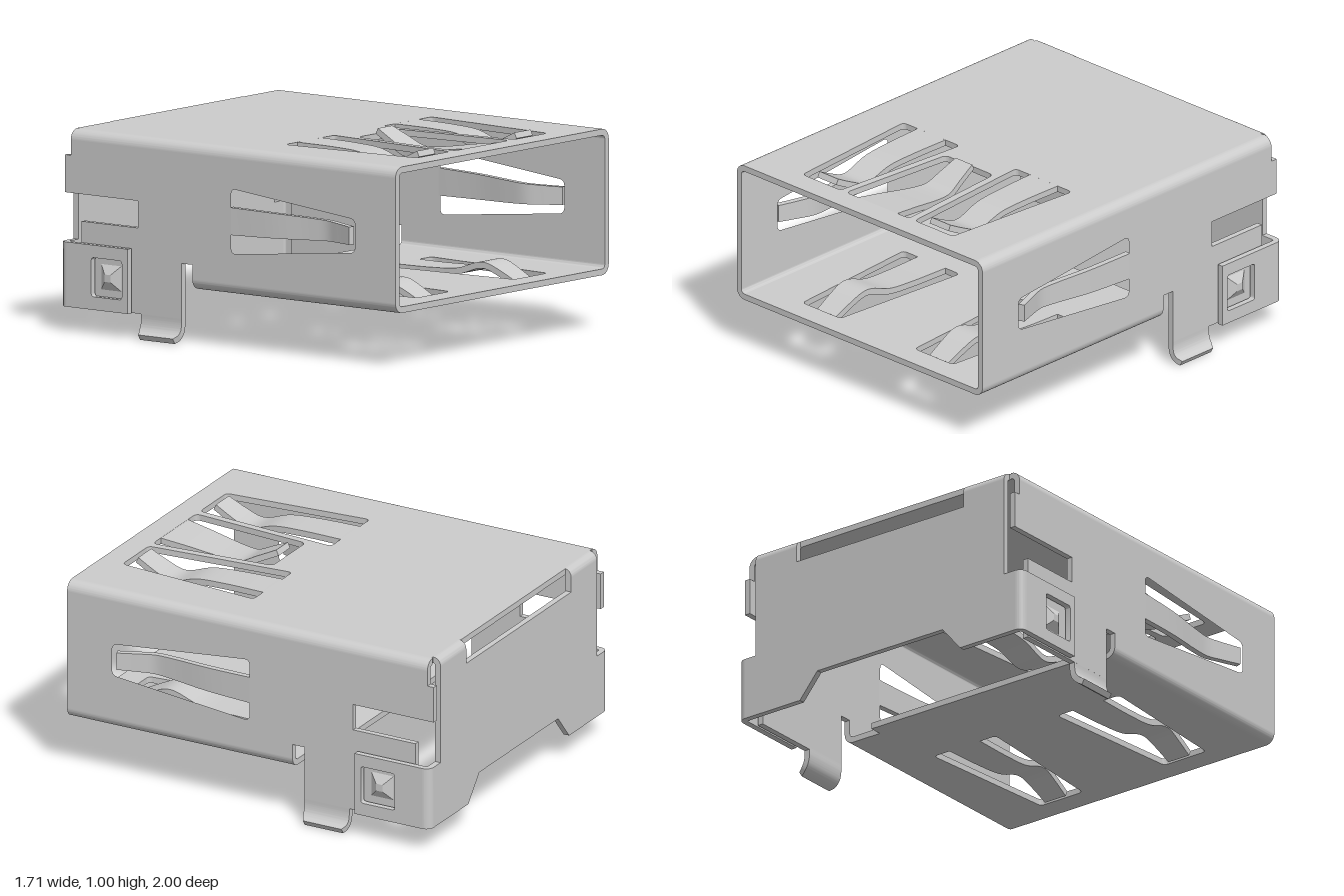
import * as THREE from 'three';
import { toCreasedNormals } from 'three/addons/utils/BufferGeometryUtils.js';

const T = 0.03; // sheet thickness
const V = (x, y, z) => new THREE.Vector3(x, y, z);
const material = new THREE.MeshStandardMaterial({ color: 0xcccccc });

// Closed outline with corners rounded by r
function outline(pts, r = 0, Type = THREE.Shape) {
  const s = new Type();
  const p = pts.map(([x, y]) => new THREE.Vector2(x, y));
  p.forEach((c, i) => {
    const a = p[(i + p.length - 1) % p.length], b = p[(i + 1) % p.length];
    const toward = (q) => c.clone().add(q.clone().sub(c).setLength(r));
    const from = r ? toward(a) : c, to = r ? toward(b) : c;
    if (i === 0) s.moveTo(from.x, from.y); else s.lineTo(from.x, from.y);
    if (r) s.quadraticCurveTo(c.x, c.y, to.x, to.y);
  });
  s.closePath();
  return s;
}

function extrude(shape, depth = T) {
  return new THREE.ExtrudeGeometry(shape, { depth, bevelEnabled: false, curveSegments: 8 });
}

// Horizontal panel: outline in x,z, hanging down from y
function floorPanel(shape, y) {
  return extrude(shape).applyMatrix4(
    new THREE.Matrix4().makeBasis(V(1, 0, 0), V(0, 0, 1), V(0, -1, 0)).setPosition(0, y, 0));
}

// Upright side panel: outline in z,y, with its +x face at x
function sidePanel(shape, x) {
  return extrude(shape).applyMatrix4(
    new THREE.Matrix4().makeBasis(V(0, 0, 1), V(0, 1, 0), V(-1, 0, 0)).setPosition(x, 0, 0));
}

// Quarter-round sheet bend along z, starting at angle a
function bend(R, a, length) {
  const s = new THREE.Shape();
  s.absarc(0, 0, R, a, a + Math.PI / 2, false);
  s.absarc(0, 0, R - T, a + Math.PI / 2, a, true);
  s.closePath();
  return extrude(s, length);
}

// Bent tapering strip: stations are [along z, height, half width]
function strip(stations, steps = 28) {
  const curve = new THREE.CatmullRomCurve3(stations.map(([s, h, w]) => V(w, h, s)), false, 'centripetal');
  const pos = [], index = [];
  for (let i = 0; i <= steps; i++) {
    const p = curve.getPoint(i / steps), t = curve.getTangent(i / steps);
    const l = Math.hypot(t.y, t.z), ny = t.z / l * T / 2, nz = -t.y / l * T / 2;
    for (const [sx, sn] of [[-1, -1], [1, -1], [1, 1], [-1, 1]]) {
      pos.push(sx * p.x, p.y + sn * ny, p.z + sn * nz);
    }
    if (i === steps) break;
    for (let k = 0; k < 4; k++) {
      const a = i * 4 + k, b = i * 4 + (k + 1) % 4;
      index.push(a, b, b + 4, a, b + 4, a + 4);
    }
  }
  const e = steps * 4;
  index.push(0, 2, 1, 0, 3, 2, e, e + 1, e + 2, e, e + 2, e + 3);
  const g = new THREE.BufferGeometry();
  g.setAttribute('position', new THREE.Float32BufferAttribute(pos, 3));
  g.setIndex(index);
  return g;
}

export function createModel() {
  const model = new THREE.Group();
  const add = (name, geo) => {
    const mesh = new THREE.Mesh(toCreasedNormals(geo, 0.5), material);
    mesh.name = name;
    model.add(mesh);
  };
  const springSlot = (cx) => outline(
    [[cx - 0.185, 0.13], [cx + 0.185, 0.13], [cx + 0.125, 0.878], [cx - 0.125, 0.878]], 0.025, THREE.Path);

  // Top plate with three spring slots
  const top = outline([[-0.76, 1], [-0.76, -0.96], [-0.5, -0.96], [-0.5, -0.97],
    [0.5, -0.97], [0.5, -0.96], [0.76, -0.96], [0.76, 1]]);
  top.holes.push(springSlot(-0.37), springSlot(0.37),
    outline([[-0.157, 0.253], [0.157, 0.253], [0.207, 0.878], [-0.207, 0.878]], 0.03, THREE.Path));
  add('topPlate', floorPanel(top, 0.965));

  // Bottom plate with a shallow rear tab
  const bottom = outline([[-0.76, 1], [-0.76, -0.23], [-0.6, -0.23], [-0.6, -0.295],
    [0.6, -0.295], [0.6, -0.23], [0.76, -0.23], [0.76, 1]]);
  bottom.holes.push(springSlot(-0.37), springSlot(0.37));
  add('bottomPlate', floorPanel(bottom, 0.295));

  // Contact springs of the top and bottom plates
  const contact = strip([[0.12, 0, 0.092], [0.35, -0.003, 0.085], [0.5, -0.014, 0.08],
    [0.62, -0.052, 0.076], [0.67, -0.052, 0.074], [0.75, -0.02, 0.068], [0.835, 0.022, 0.062]]);
  for (const x of [-0.37, 0.37]) {
    add('topSpring', contact.clone().translate(x, 0.95, 0));
    add('bottomSpring', contact.clone().rotateZ(Math.PI).translate(x, 0.28, 0));
  }
  add('centreSpring', strip([[-0.885, 0, 0.13], [-0.75, -0.018, 0.115], [-0.53, -0.049, 0.09],
    [-0.46, -0.047, 0.08], [-0.38, -0.01, 0.068], [-0.285, 0.035, 0.055]])
    .rotateY(Math.PI).scale(1, 1, 1).translate(0, 0.95, 0));

  const sideSpring = strip([[-0.005, 0, 0.066], [0.25, -0.015, 0.06], [0.45, -0.042, 0.053],
    [0.55, -0.048, 0.049], [0.63, -0.025, 0.046], [0.73, 0.01, 0.043]]);
  const leg = strip([[-0.13, 0, 0.122], [-0.09, 0, 0.122], [-0.055, 0.008, 0.122],
    [-0.03, 0.026, 0.118], [-0.014, 0.052, 0.105]]);

  for (const side of [-1, 1]) {
    const outer = (x) => (side > 0 ? x : -x + T); // +x face of a sheet whose outside is at x
    const a = side > 0 ? 0 : Math.PI / 2;

    // Side wall with spring slot, rear window and cut-outs
    const wall = outline([[1, 0.315], [-0.23, 0.315], [-0.23, 0.385], [-0.295, 0.385], [-0.295, 0.12],
      [-0.9, 0.12], [-0.9, 0.53], [-0.56, 0.53], [-0.56, 0.66], [-1, 0.66], [-1, 0.84],
      [-0.965, 0.84], [-0.965, 0.915], [1, 0.915]]);
    wall.holes.push(outline([[0.005, 0.458], [0.005, 0.772], [0.755, 0.695], [0.755, 0.535]], 0.03, THREE.Path));
    add('sideWall', sidePanel(wall, outer(0.81)));
    add('sideSpring', sideSpring.clone().rotateZ(-side * Math.PI / 2).translate(side * 0.795, 0.615, 0));

    // Rounded long edges
    add('topEdge', bend(0.05, a, 1.965).translate(side * 0.76, 0.915, -0.965));
    add('bottomEdge', bend(0.05, side > 0 ? -Math.PI / 2 : Math.PI, 1.23).translate(side * 0.76, 0.315, -0.23));

    // Flared mounting leg
    add('mountingLeg', leg.clone().applyMatrix4(new THREE.Matrix4()
      .makeBasis(V(0, 0, -side), V(side, 0, 0), V(0, -1, 0)).setPosition(side * 0.795, 0, -0.4175)));

    // Wrap-around flap with a square latch window and its bump
    const flap = outline([[-0.96, 0.12], [-0.59, 0.12], [-0.59, 0.43], [-0.96, 0.43]]);
    flap.holes.push(outline([[-0.81, 0.183], [-0.625, 0.183], [-0.625, 0.37], [-0.81, 0.37]], 0.015, THREE.Path));
    add('latchFlap', sidePanel(flap, outer(0.85)));
    add('latchBump', new THREE.CylinderGeometry(0.025, 0.088, 0.03, 4).rotateY(Math.PI / 4)
      .rotateZ(-side * Math.PI / 2).translate(side * 0.824, 0.276, -0.72));
    add('flapBend', bend(0.04, a, 0.31).rotateX(-Math.PI / 2).translate(side * 0.81, 0.12, -0.96));

    // Bend joining the top plate to the back plate
    add('backBend', bend(0.04, 0, 0.245).rotateY(Math.PI / 2)
      .translate(side > 0 ? 0.5 : -0.745, 0.925, -0.96));
  }

  // Back plate, slotted at the top and notched below
  const half = [[0.375, 0.245], [0.48, 0.12], [0.81, 0.12], [0.81, 0.43],
    [0.745, 0.43], [0.745, 0.925], [0.5, 0.925], [0.5, 0.85]];
  const back = outline([...half, ...half.map(([x, y]) => [-x, y]).reverse()]);
  add('backPlate', extrude(back).translate(0, 0, -1));

  return model;
}
